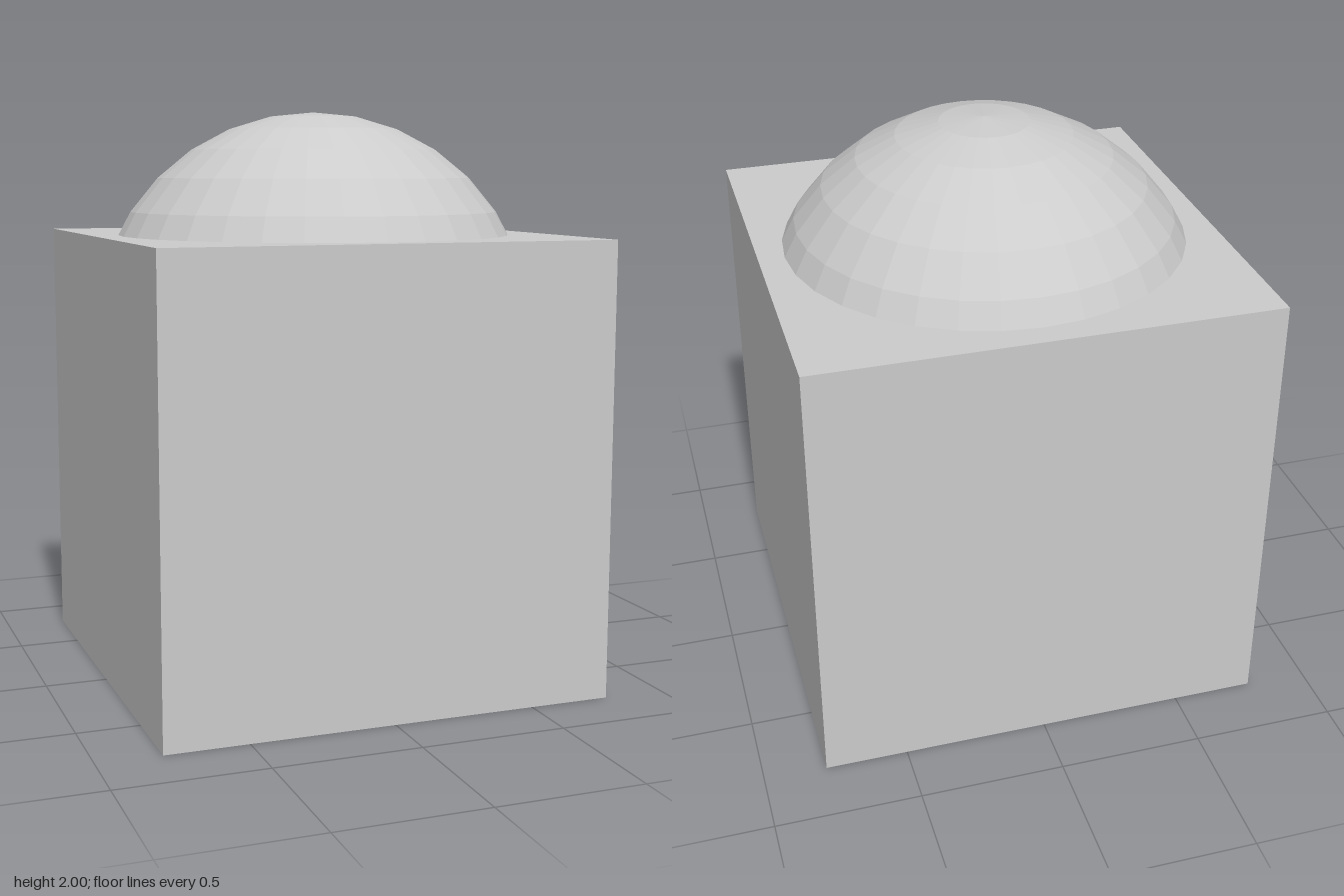
import * as THREE from 'three';

export function createModel() {
  const model = new THREE.Group();
  model.name = 'domedBlock';
  const material = new THREE.MeshStandardMaterial({ color: 0xcccccc, flatShading: true });

  const side = 1.57;
  const radius = 0.784;

  // Cubic base
  const base = new THREE.Mesh(new THREE.BoxGeometry(side, side, side), material);
  base.name = 'base';
  base.position.y = side / 2;

  // Faceted ball sunk into the base, its top showing as a dome
  const dome = new THREE.Mesh(new THREE.SphereGeometry(radius, 32, 16), material);
  dome.name = 'dome';
  dome.position.y = 2 - radius;

  model.add(base, dome);
  return model;
}
